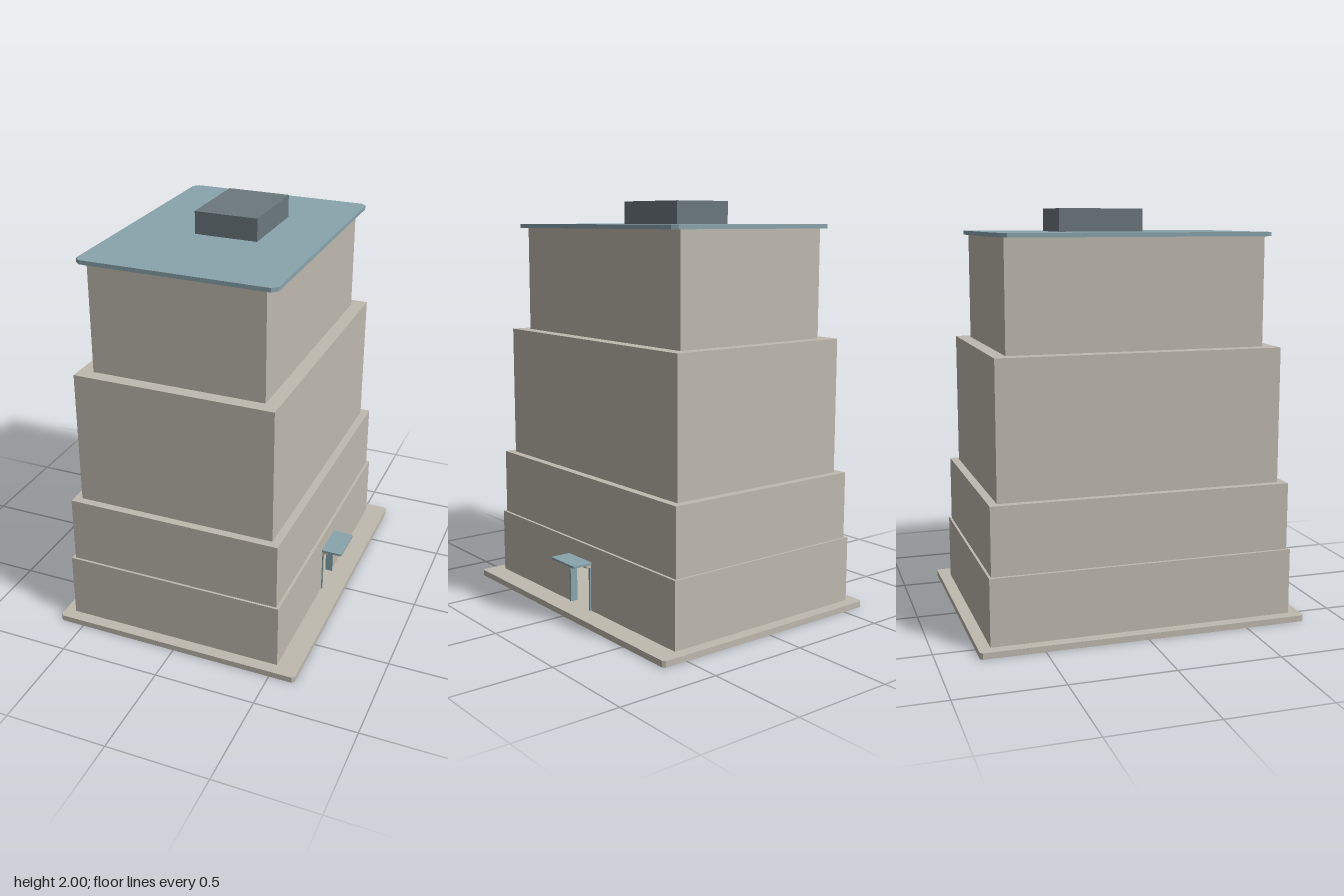
import * as THREE from 'three';

const stone = new THREE.MeshStandardMaterial({ color: 0xc0baaf });
stone.name = 'warm stone';
const slate = new THREE.MeshStandardMaterial({ color: 0x8aa4ac });
slate.name = 'blue slate';
const plant = new THREE.MeshStandardMaterial({ color: 0x6b787d });
plant.name = 'dark grey';

// Box given by its limits on each axis
function block(name, material, [x0, x1], [y0, y1], [z0, z1]) {
  const mesh = new THREE.Mesh(new THREE.BoxGeometry(x1 - x0, y1 - y0, z1 - z0), material);
  mesh.position.set((x0 + x1) / 2, (y0 + y1) / 2, (z0 + z1) / 2);
  mesh.name = name;
  return mesh;
}

// Flat slab with cut corners
function slab(name, material, [x0, x1], [y0, y1], [z0, z1], cut) {
  const shape = new THREE.Shape([
    [x0 + cut, -z1], [x1 - cut, -z1], [x1, -z1 + cut], [x1, -z0 - cut],
    [x1 - cut, -z0], [x0 + cut, -z0], [x0, -z0 - cut], [x0, -z1 + cut],
  ].map(([x, y]) => new THREE.Vector2(x, y)));
  const geometry = new THREE.ExtrudeGeometry(shape, { depth: y1 - y0, bevelEnabled: false });
  geometry.rotateX(-Math.PI / 2).translate(0, y0, 0);
  const mesh = new THREE.Mesh(geometry, material);
  mesh.name = name;
  return mesh;
}

// Hollow ground floor with an open doorway in the +x wall
function groundFloor() {
  const group = new THREE.Group();
  group.name = 'groundFloor';
  const x0 = -0.572, x1 = 0.52, y0 = 0.03, y1 = 0.355, z = 0.747, t = 0.03;
  const door = 0.088, doorTop = 0.25;
  const outline = new THREE.Shape([
    [-z, y0], [-door, y0], [-door, doorTop], [door, doorTop],
    [door, y0], [z, y0], [z, y1], [-z, y1],
  ].map(([a, b]) => new THREE.Vector2(a, b)));
  const geometry = new THREE.ExtrudeGeometry(outline, { depth: t, bevelEnabled: false });
  geometry.rotateY(Math.PI / 2).translate(x1 - t, 0, 0);
  const doorWall = new THREE.Mesh(geometry, stone);
  doorWall.name = 'doorWall';
  group.add(doorWall);
  group.add(block('farWall', stone, [x0, x0 + t], [y0, y1], [-z, z]));
  group.add(block('frontWall', stone, [x0 + t, x1 - t], [y0, y1], [z - t, z]));
  group.add(block('backWall', stone, [x0 + t, x1 - t], [y0, y1], [-z, -z + t]));
  return group;
}

// Door jambs, header and canopy
function entrance() {
  const group = new THREE.Group();
  group.name = 'entrance';
  for (const side of [-1, 1]) {
    const zs = side > 0 ? [0.08, 0.09] : [-0.09, -0.08];
    group.add(block('doorJamb', slate, [0.488, 0.526], [0.03, 0.25], zs));
  }
  group.add(block('doorHeader', stone, [0.49, 0.545], [0.247, 0.264], [-0.09, 0.09]));
  group.add(slab('canopy', slate, [0.518, 0.625], [0.264, 0.275], [-0.1, 0.1], 0.006));
  return group;
}

export function createModel() {
  const model = new THREE.Group();
  model.name = 'steppedTower';

  model.add(slab('basePlate', stone, [-0.627, 0.627], [0, 0.03], [-0.805, 0.805], 0.012));
  model.add(groundFloor());

  // Upper storeys, each set back from the one below
  const tiers = [
    ['secondTier', -0.556, 0.506, 0.355, 0.685, 0.735],
    ['thirdTier', -0.518, 0.467, 0.685, 1.345, 0.695],
    ['topTier', -0.45, 0.4, 1.345, 1.87, 0.63],
  ];
  for (const [name, x0, x1, y0, y1, z] of tiers) {
    model.add(block(name, stone, [x0, x1], [y0, y1], [-z, z]));
  }

  model.add(slab('roof', slate, [-0.505, 0.45], [1.87, 1.89], [-0.65, 0.65], 0.025));
  model.add(block('roofPlantRoom', plant, [-0.157, 0.155], [1.89, 2], [-0.298, 0.12]));
  model.add(entrance());
  return model;
}
